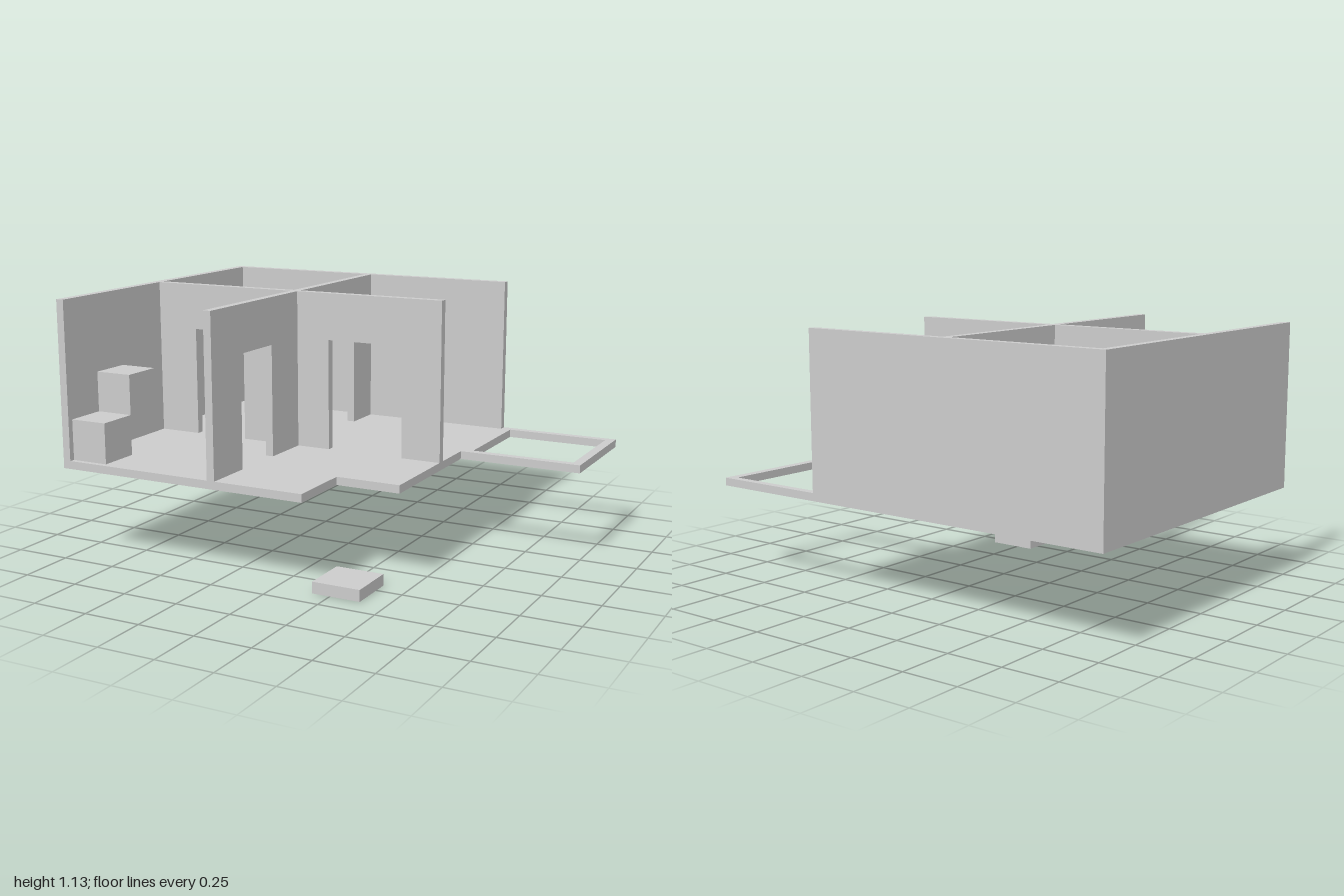
import * as THREE from 'three';

const FLOOR_BOTTOM = 0.4, FLOOR_TOP = 0.435, WALL_TOP = 1.13, THICK = 0.035;
const material = new THREE.MeshStandardMaterial({ color: 0xcccccc, flatShading: true });

function addMesh(parent, name, geometry) {
  const mesh = new THREE.Mesh(geometry, material);
  mesh.name = name;
  parent.add(mesh);
  return mesh;
}

// Box given by its minimum and maximum corners
function addBox(parent, name, [x0, y0, z0], [x1, y1, z1]) {
  const mesh = addMesh(parent, name, new THREE.BoxGeometry(x1 - x0, y1 - y0, z1 - z0));
  mesh.position.set((x0 + x1) / 2, (y0 + y1) / 2, (z0 + z1) / 2);
}

// Upright wall running from a to b, with doorways [start, end, top] open to the floor
function wallGeometry(a, b, doors = []) {
  const points = [[a, FLOOR_TOP]];
  for (const [d0, d1, top] of doors) {
    points.push([d0, FLOOR_TOP], [d0, top], [d1, top], [d1, FLOOR_TOP]);
  }
  points.push([b, FLOOR_TOP], [b, WALL_TOP], [a, WALL_TOP]);
  const shape = new THREE.Shape(points.map(p => new THREE.Vector2(...p)));
  return new THREE.ExtrudeGeometry(shape, { depth: THICK, bevelEnabled: false });
}

function addWallAlongX(parent, name, z, a, b, doors) {
  addMesh(parent, name, wallGeometry(a, b, doors)).position.z = z;
}

function addWallAlongZ(parent, name, x, a, b, doors) {
  const geometry = wallGeometry(a, b, doors).rotateY(-Math.PI / 2);
  addMesh(parent, name, geometry).position.x = x + THICK;
}

export function createModel() {
  const model = new THREE.Group();
  model.name = 'openHouse';

  // Floor slab with a cut front corner and an open frame at the back
  const plan = points => points.map(([x, z]) => new THREE.Vector2(x, -z));
  const slab = new THREE.Shape(plan([
    [-1, 0.73], [0.17, 0.73], [0.17, 0.435], [0.455, 0.435],
    [0.455, -0.2], [1, -0.2], [1, -0.73], [-1, -0.73],
  ]));
  slab.holes.push(new THREE.Path(plan([
    [0.5, -0.235], [0.5, -0.695], [0.96, -0.695], [0.96, -0.235],
  ])));
  const floor = new THREE.ExtrudeGeometry(slab, { depth: FLOOR_TOP - FLOOR_BOTTOM, bevelEnabled: false });
  addMesh(model, 'floorWithFrame', floor.rotateX(-Math.PI / 2)).position.y = FLOOR_BOTTOM;

  // Outer walls
  const walls = new THREE.Group();
  walls.name = 'walls';
  model.add(walls);
  addWallAlongX(walls, 'backWall', -0.73, -1, 0.455);
  addWallAlongZ(walls, 'sideWall', -1, -0.695, 0.73);

  // Partition walls with doorways
  addWallAlongX(walls, 'middlePartition', 0, -0.965, 0.455,
    [[-0.77, -0.515, 0.925], [-0.08, 0.275, 0.925]]);
  addWallAlongZ(walls, 'rearPartition', -0.27, -0.695, 0, [[-0.515, -0.14, 1.015]]);
  addWallAlongZ(walls, 'frontPartition', -0.27, THICK, 0.73, [[0.26, 0.51, 0.925]]);

  // Two blocks against the side wall: one on the floor, one raised behind it
  addBox(model, 'lowBlock', [-0.965, FLOOR_TOP, 0.52], [-0.795, 0.613, 0.705]);
  addBox(model, 'raisedBlock', [-0.965, 0.61, 0.335], [-0.795, 0.79, 0.52]);

  // Separate step on the ground
  addBox(model, 'step', [0.17, 0, 0.435], [0.385, 0.05, 0.65]);

  return model;
}
